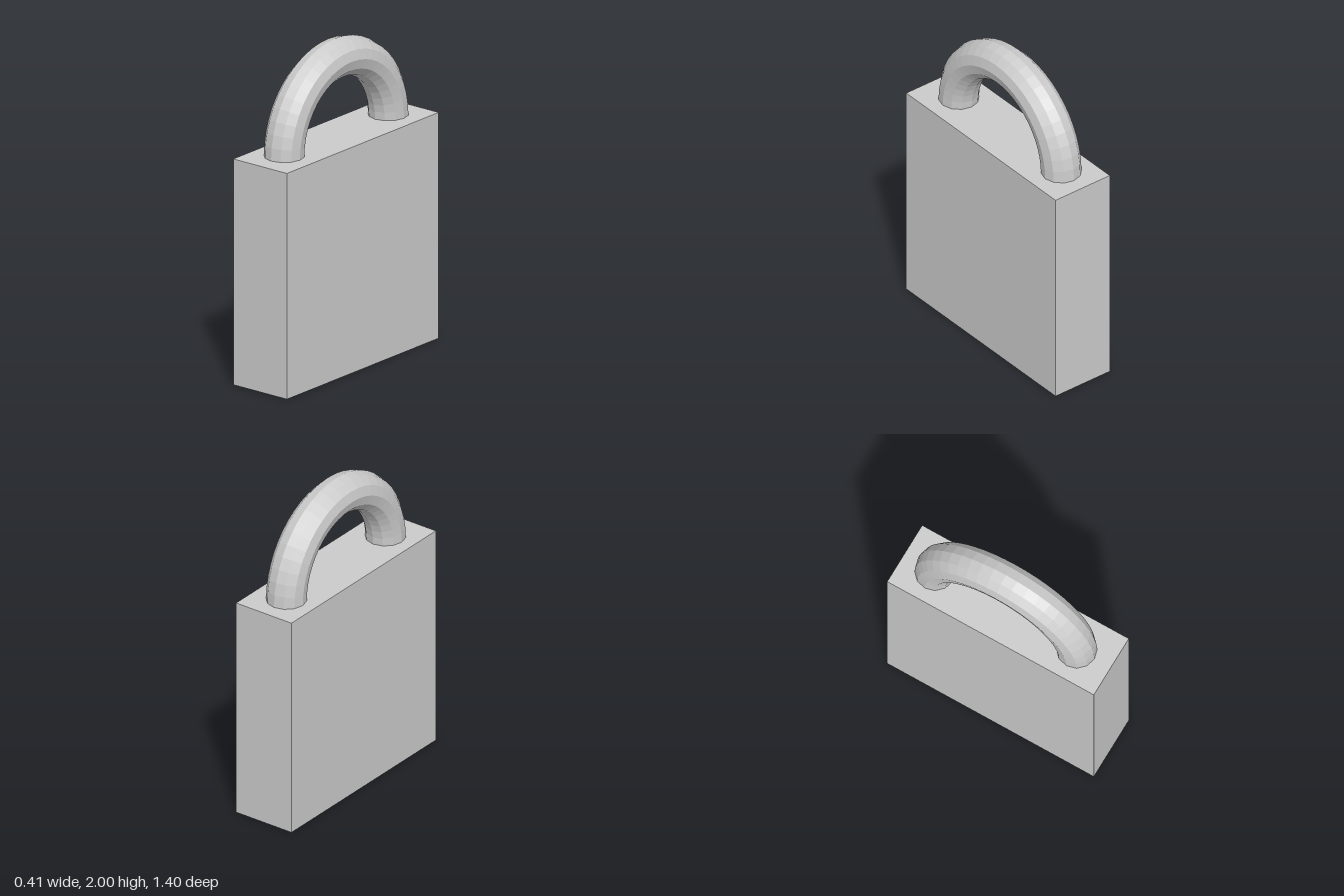
import * as THREE from 'three';

export function createModel() {
  const group = new THREE.Group();
  const material = new THREE.MeshStandardMaterial({ color: 0xcccccc, flatShading: true });

  // Solid rectangular lock body
  const bodyHeight = 1.4;
  const body = new THREE.Mesh(new THREE.BoxGeometry(0.406, bodyHeight, 1.4), material);
  body.name = 'body';
  body.position.y = bodyHeight / 2;
  group.add(body);

  // Faceted half-ring shackle, its ends sunk one segment into the body
  const step = Math.PI / 24;
  const ring = new THREE.TorusGeometry(0.48, 0.12, 12, 26, Math.PI + 2 * step);
  ring.rotateZ(-step).rotateY(Math.PI / 2);
  const shackle = new THREE.Mesh(ring, material);
  shackle.name = 'shackle';
  shackle.position.set(-0.007, bodyHeight, -0.01);
  group.add(shackle);

  return group;
}
